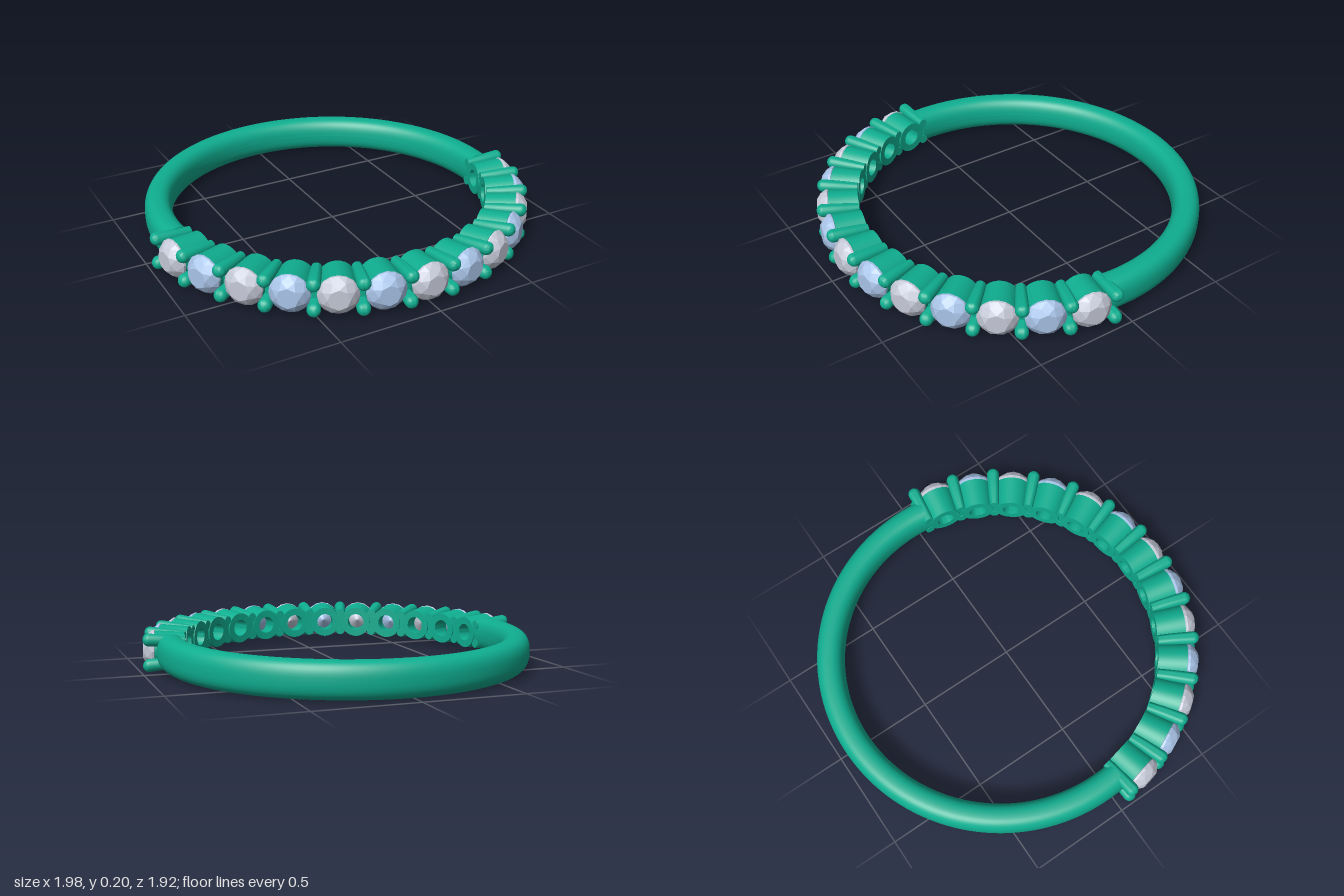
import * as THREE from 'three';
import { toCreasedNormals } from 'three/addons/utils/BufferGeometryUtils.js';
import { ConvexGeometry } from 'three/addons/geometries/ConvexGeometry.js';

const STONES = 13;
const STEP = THREE.MathUtils.degToRad(12.9);
const INNER = 0.79;
const END = STEP * STONES / 2;

// Rounded oval cross-section of the plain band, in (radius, height)
function bandSection(n = 40) {
  const power = v => Math.sign(v) * Math.abs(v) ** 0.8;
  return Array.from({ length: n + 1 }, (_, i) => {
    const a = -Math.PI + (i / n) * Math.PI * 2;
    return new THREE.Vector2(0.862 + 0.068 * power(Math.cos(a)), 0.087 * power(Math.sin(a)));
  });
}

// Hollow tapered cup along +z, its inner end trimmed to the finger opening
function cupGeometry() {
  const profile = [[0.045, INNER], [0.082, INNER], [0.086, 0.86], [0.091, 0.935],
    [0.08, 0.935], [0.045, 0.87], [0.045, INNER]].map(p => new THREE.Vector2(...p));
  const g = new THREE.LatheGeometry(profile, 40);
  g.rotateX(Math.PI / 2);
  const p = g.attributes.position;
  for (let i = 0; i < p.count; i++) {
    if (p.getZ(i) < INNER + 0.001) p.setZ(i, Math.sqrt(INNER ** 2 - p.getX(i) ** 2));
  }
  return toCreasedNormals(g, 0.6);
}

// Round brilliant: rings of points wrapped by a convex hull
function gemGeometry() {
  const points = [new THREE.Vector3(0, 0, 0.875)];
  const ring = (n, r, z, turn = 0) => {
    for (let i = 0; i < n; i++) {
      const a = ((i + turn) / n) * Math.PI * 2;
      points.push(new THREE.Vector3(r * Math.cos(a), r * Math.sin(a), z));
    }
  };
  ring(16, 0.094, 0.938);
  ring(16, 0.094, 0.948);
  ring(8, 0.076, 0.974, 0.5);
  ring(8, 0.05, 0.993);
  return new ConvexGeometry(points);
}

// Round-ended prong running outward along +z
function prongGeometry() {
  const tip = Array.from({ length: 7 }, (_, i) => {
    const a = (i / 6) * Math.PI / 2;
    return new THREE.Vector2(Math.max(0, 0.032 * Math.cos(a)), 0.967 + 0.03 * Math.sin(a));
  });
  const g = new THREE.LatheGeometry([new THREE.Vector2(0, INNER + 0.003),
    new THREE.Vector2(0.024, INNER + 0.003), new THREE.Vector2(0.028, 0.86), ...tip], 20);
  g.rotateX(Math.PI / 2);
  // Prongs lean apart towards the tips
  const p = g.attributes.position;
  for (let i = 0; i < p.count; i++) p.setY(i, p.getY(i) + 0.05 + 0.07 * (p.getZ(i) - INNER));
  return toCreasedNormals(g, 0.7);
}

export function createModel() {
  const model = new THREE.Group();
  model.name = 'ring';
  const metal = new THREE.MeshStandardMaterial({ color: 0x0fae90 });
  const metalThin = new THREE.MeshStandardMaterial({ color: 0x0fae90, side: THREE.DoubleSide });
  const gemMaterials = [0xc6cad8, 0xa9c4e8].map(color =>
    new THREE.MeshStandardMaterial({ color, flatShading: true }));

  const add = (parent, name, geometry, material) => {
    const mesh = new THREE.Mesh(geometry, material);
    mesh.name = name;
    parent.add(mesh);
    return mesh;
  };
  const radialGroup = (name, angle) => {
    const group = new THREE.Group();
    group.name = name;
    group.rotation.y = angle;
    model.add(group);
    return group;
  };

  // Plain band around the back, with closed ends
  const section = bandSection();
  add(model, 'band', new THREE.LatheGeometry(section, 96, END, Math.PI * 2 - END * 2), metal);
  for (const side of [-1, 1]) {
    const cap = add(model, 'bandEnd', new THREE.ShapeGeometry(new THREE.Shape(section)), metalThin);
    cap.rotation.y = side * END - Math.PI / 2;
  }

  // Cups and stones in alternating tints
  const cup = cupGeometry();
  const gem = gemGeometry();
  const half = (STONES - 1) / 2;
  for (let i = -half; i <= half; i++) {
    const setting = radialGroup('setting', i * STEP);
    add(setting, 'cup', cup, metal);
    add(setting, 'stone', gem, gemMaterials[Math.abs(i) % 2]);
  }

  // Prong pairs and the bridges joining neighbouring cups
  const prong = prongGeometry();
  const bridge = new THREE.BoxGeometry(0.026, 0.1, 0.125);
  for (let i = 0; i <= STONES; i++) {
    const pair = radialGroup('prongPair', -END + i * STEP);
    add(pair, 'upperProng', prong, metal);
    add(pair, 'lowerProng', prong, metal).rotation.z = Math.PI;
    add(pair, 'bridge', bridge, metal).position.z = INNER + 0.07;
  }

  // The ring rests with its back slightly lower than its front
  model.rotation.x = -0.0105;
  model.position.set(0, 0.099, -0.034);
  const root = new THREE.Group();
  root.name = 'stoneSetRing';
  root.add(model);
  return root;
}
